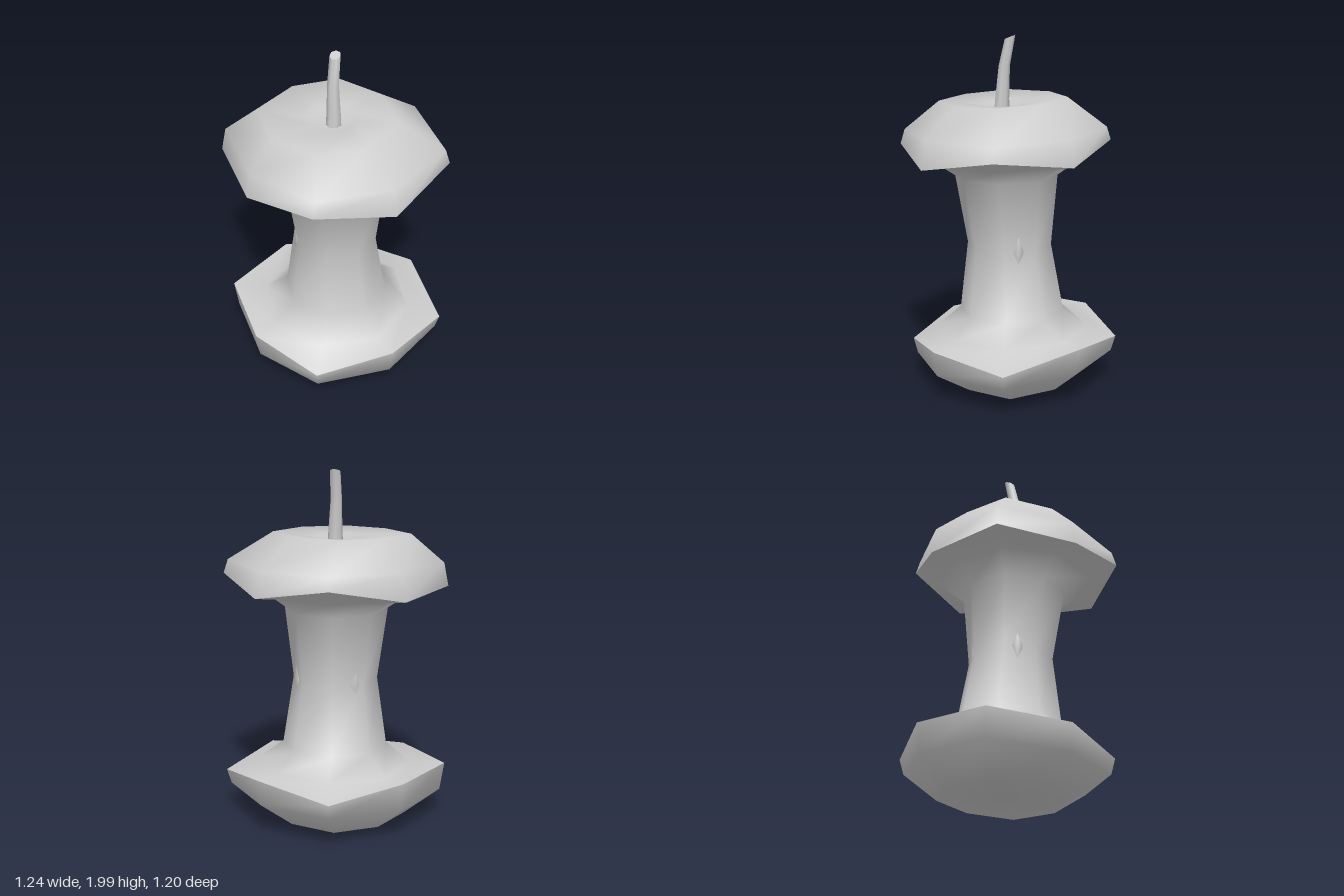
import * as THREE from 'three';
import { mergeVertices } from 'three/addons/utils/BufferGeometryUtils.js';

const material = new THREE.MeshStandardMaterial({ color: 0xcccccc });

// Uneven eight-sided rims where the bites end, as [x, y, z]
const upperRim = [
  [0.62, 1.41, -0.10], [0.48, 1.32, 0.34], [0.12, 1.385, 0.60], [-0.30, 1.33, 0.49],
  [-0.61, 1.35, 0.15], [-0.46, 1.34, -0.29], [-0.11, 1.43, -0.55], [0.32, 1.35, -0.45],
];
const lowerRim = [
  [0.61, 0.26, -0.15], [0.47, 0.30, 0.29], [0.11, 0.23, 0.55], [-0.31, 0.30, 0.45],
  [-0.62, 0.325, 0.10], [-0.47, 0.345, -0.34], [-0.12, 0.285, -0.60], [0.31, 0.345, -0.49],
];

// Smooth skin through rings ordered from bottom to top
function loft(rings) {
  const n = rings[0].length;
  const index = [];
  for (let r = 0; r < rings.length - 1; r++) {
    for (let i = 0; i < n; i++) {
      const a = r * n + i, b = r * n + (i + 1) % n;
      index.push(a, a + n, b, a + n, b + n, b);
    }
  }
  let geometry = new THREE.BufferGeometry();
  geometry.setAttribute('position', new THREE.Float32BufferAttribute(rings.flat(2), 3));
  geometry.setIndex(index);
  geometry = mergeVertices(geometry);
  geometry.computeVertexNormals();
  return geometry;
}

// A rim scaled inwards and laid on a gently tilted plane
function inset(rim, scale, y, tilt = 0, dx = 0, dz = 0) {
  return rim.map(([x, , z]) => {
    const pz = z * scale + dz;
    return [x * scale + dx, y + tilt * pz, pz];
  });
}

// Regular ring round the vertical axis, optionally tilted
function circle(radius, y, sides, start = 0, cx = 0, cz = 0, tilt = 0) {
  return Array.from({ length: sides }, (_, i) => {
    const a = start + (i / sides) * Math.PI * 2;
    const z = radius * Math.sin(a);
    return [cx + radius * Math.cos(a), y + tilt * z, cz + z];
  });
}

function part(name, geometry) {
  const mesh = new THREE.Mesh(geometry, material);
  mesh.name = name;
  return mesh;
}

export function createModel() {
  const group = new THREE.Group();
  group.name = 'appleCore';

  // Upper cap with a dimple for the stem
  group.add(part('upperCap', loft([
    upperRim,
    inset(upperRim, 0.96, 1.485, -0.03),
    inset(upperRim, 0.61, 1.643, -0.045, -0.03, 0.03),
    inset(upperRim, 0.22, 1.62, -0.03, 0, 0.03),
    inset(upperRim, 0, 1.58, 0, 0.01, 0.04),
  ])));

  // Lower cap with a shallow dimple underneath
  group.add(part('lowerCap', loft([
    inset(lowerRim, 0, 0.07),
    inset(lowerRim, 0.22, 0.04, -0.03),
    inset(lowerRim, 0.61, 0.022, -0.045, -0.02, -0.02),
    inset(lowerRim, 0.96, 0.17, -0.05),
    lowerRim,
  ])));

  // Bitten waist, flaring out to both rims
  const start = -0.18;
  group.add(part('core', loft([
    lowerRim,
    circle(0.43, 0.335, 8, start, 0, -0.02, -0.03),
    circle(0.295, 0.44, 8, start, 0, -0.015),
    circle(0.237, 0.825, 8, start),
    circle(0.29, 1.225, 8, start, 0, 0.02),
    circle(0.43, 1.32, 8, start, 0, 0.02, -0.02),
    upperRim,
  ])));

  // Seeds barely showing through the waist
  const seedShape = new THREE.SphereGeometry(1, 6, 4);
  for (const angle of [-0.52, 2.62, 3.93]) {
    const seed = part('seed', seedShape);
    seed.scale.set(0.03, 0.15, 0.035);
    seed.position.set(0.205 * Math.cos(angle), 0.83, 0.205 * Math.sin(angle));
    seed.rotation.y = -angle;
    group.add(seed);
  }

  // Bent stem with a slanted flat end
  const stem = new THREE.Group();
  stem.name = 'stem';
  const end = circle(0.03, 1.985, 7, 0, 0, -0.003, -0.4);
  stem.add(part('stemSide', loft([
    circle(0.044, 1.57, 7, 0, 0.01, 0.042),
    circle(0.04, 1.65, 7, 0, 0.01, 0.039),
    circle(0.032, 1.83, 7, 0, 0.002, 0.029),
    end,
  ])));
  stem.children[0].geometry.computeBoundingSphere();
  stem.add(part('stemEnd', loft([end, circle(0, 1.985, 7, 0, 0, -0.003)])));
  stem.scale.y = 1;
  group.add(stem);

  return group;
}
